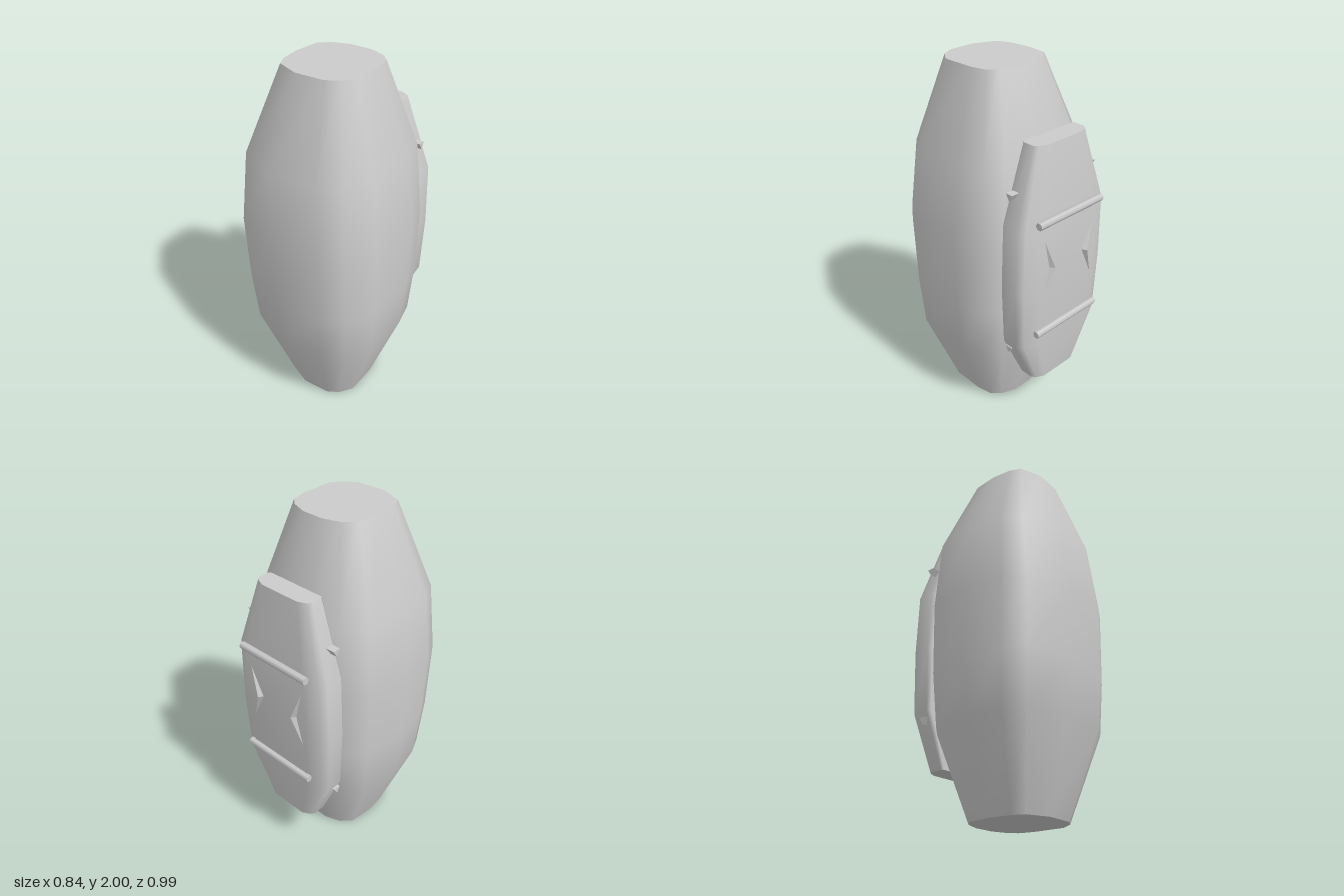
import * as THREE from 'three';

// Skin a cross-section (unit coordinates) through rings [y, xMin, xMax, zMin, zMax]; flat caps on both ends
function loft(section, rings) {
  const n = section.length;
  const pos = [], index = [];
  const addRing = ([y, x0, x1, z0, z1]) => {
    for (const [u, v] of section) {
      pos.push((x0 + x1) / 2 + u * (x1 - x0) / 2, y, (z0 + z1) / 2 + v * (z1 - z0) / 2);
    }
  };
  rings.forEach(addRing);
  for (let i = 0; i < rings.length - 1; i++) {
    for (let j = 0; j < n; j++) {
      const a = i * n + j, b = i * n + (j + 1) % n;
      index.push(a, a + n, b, a + n, b + n, b);
    }
  }
  for (const top of [false, true]) {
    const ring = rings[top ? rings.length - 1 : 0];
    const start = pos.length / 3;
    addRing(ring);
    for (let j = 1; j < n - 1; j++) {
      if (top) index.push(start, start + j + 1, start + j);
      else index.push(start, start + j, start + j + 1);
    }
  }
  const geo = new THREE.BufferGeometry();
  geo.setAttribute('position', new THREE.Float32BufferAttribute(pos, 3));
  geo.setIndex(index);
  geo.computeVertexNormals();
  return geo;
}

export function createModel() {
  const group = new THREE.Group();
  const smooth = new THREE.MeshStandardMaterial({ color: 0xcccccc });
  const faceted = new THREE.MeshStandardMaterial({ color: 0xcccccc, flatShading: true, side: THREE.DoubleSide });
  const add = (name, geo, mat) => {
    const mesh = new THREE.Mesh(geo, mat);
    mesh.name = name;
    group.add(mesh);
    return mesh;
  };

  // Barrel-shaped body with a rounded-square section
  const bodySection = [
    [1, 0.5], [0.77, 0.81], [0.48, 0.97], [-0.24, 1], [-0.81, 0.78], [-0.94, 0.5], [-1, 0],
    [-0.93, -0.62], [-0.67, -0.86], [-0.25, -1], [0.3, -1], [0.71, -0.86], [0.91, -0.68], [1, -0.3],
  ];
  add('body', loft(bodySection, [
    [0, -0.21, 0.23, -0.17, 0.30],
    [0.46, -0.385, 0.395, -0.32, 0.455],
    [0.75, -0.41, 0.415, -0.345, 0.48],
    [1.15, -0.42, 0.42, -0.355, 0.495],
    [1.54, -0.39, 0.38, -0.33, 0.45],
    [2, -0.21, 0.23, -0.16, 0.29],
  ]), smooth);

  // Slim pack on the back, tapered at both ends
  const half = [[0.94, 1], [1, 0.8], [1, -0.3], [0.9, -0.65], [0.65, -1]];
  const packSection = [
    ...half.map(([u, v]) => [-u, v]),
    ...half.slice().reverse(),
  ];
  add('backPack', loft(packSection, [
    [0.3, -0.17, 0.17, -0.43, -0.3],
    [0.6, -0.3, 0.31, -0.463, -0.295],
    [0.95, -0.315, 0.325, -0.467, -0.295],
    [1.3, -0.305, 0.315, -0.467, -0.295],
    [1.7, -0.18, 0.18, -0.41, -0.3],
  ]), smooth);

  // Horizontal bars across the pack
  for (const [name, y] of [['upperBar', 1.33], ['lowerBar', 0.68]]) {
    const bar = add(name, new THREE.CylinderGeometry(0.021, 0.021, 0.455, 6), smooth);
    bar.rotation.z = Math.PI / 2;
    bar.position.set(0.004, y, -0.471);
  }

  // Pair of ridged arrowheads between the bars, and small studs on the pack's sides
  for (const [side, s] of [['left', 1], ['right', -1]]) {
    const base = [[0.19, 1.25], [0.1, 1.06], [0.19, 0.87], [0.145, 1.06]];
    const pts = [];
    base.forEach(([x, y], i) => {
      const [nx, ny] = base[(i + 1) % 4];
      pts.push(s * x, y, -0.463, s * nx, ny, -0.463, s * 0.122, 1.06, -0.49);
    });
    const arrow = new THREE.BufferGeometry();
    arrow.setAttribute('position', new THREE.Float32BufferAttribute(pts, 3));
    arrow.computeVertexNormals();
    add(side + 'Arrowhead', arrow, faceted);

    for (const [level, y] of [['Upper', 1.465], ['Lower', 0.55]]) {
      const stud = add(side + level + 'Stud', new THREE.CylinderGeometry(0.025, 0.025, 0.055, 3), faceted);
      stud.rotation.z = Math.PI / 2;
      stud.rotation.x = Math.PI / 2;
      stud.rotation.order = 'XYZ';
      stud.position.set(s * 0.272, y, -0.337);
    }
  }
  return group;
}
